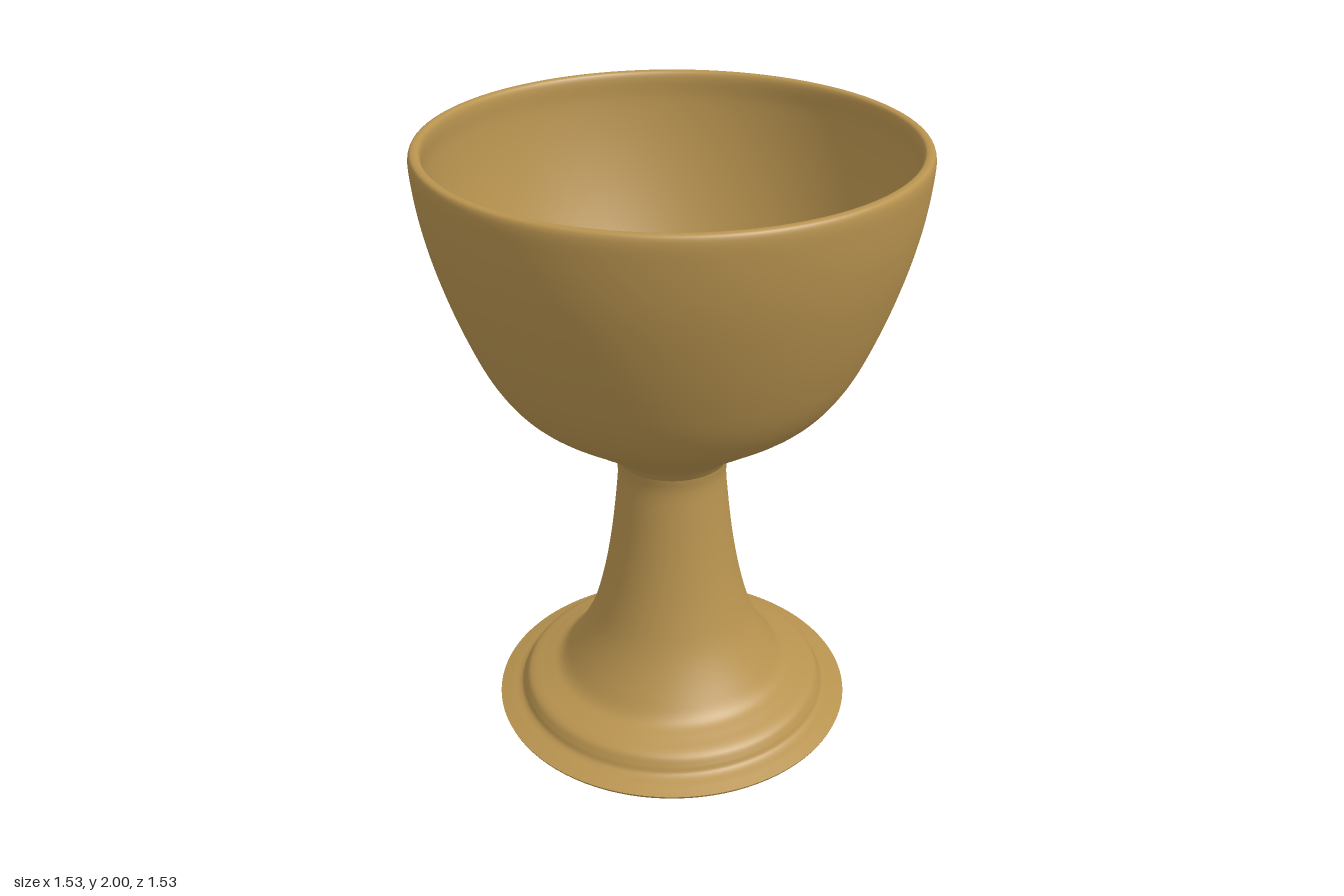
import * as THREE from 'three';

const material = new THREE.MeshStandardMaterial({ color: 0xb8934f });

// Smooth curve through [radius, height] pairs
function smooth(points, samples) {
  const curve = new THREE.CatmullRomCurve3(
    points.map(([r, y]) => new THREE.Vector3(r, y, 0)), false, 'centripetal');
  return curve.getPoints(samples).map((p) => new THREE.Vector2(Math.max(p.x, 0), p.y));
}

function turned(name, profile) {
  const mesh = new THREE.Mesh(new THREE.LatheGeometry(profile, 96), material);
  mesh.name = name;
  return mesh;
}

export function createModel() {
  const goblet = new THREE.Group();
  goblet.name = 'goblet';

  // Flat underside and thin edge of the foot
  goblet.add(turned('footUnderside', [
    new THREE.Vector2(0, 0), new THREE.Vector2(0.57, 0),
  ]));
  goblet.add(turned('footEdge', smooth([[0.57, 0], [0.6, 0.008], [0.605, 0.018]], 6)));

  // Stepped foot flowing into the stem
  goblet.add(turned('footAndStem', smooth([
    [0.605, 0.018], [0.57, 0.03], [0.53, 0.045], [0.518, 0.068], [0.5, 0.095],
    [0.44, 0.12], [0.39, 0.142], [0.345, 0.2], [0.28, 0.32], [0.24, 0.45],
    [0.207, 0.62], [0.185, 0.8], [0.178, 0.9], [0.185, 0.95],
  ], 70)));

  // Bowl: outer wall, rounded lip, then inner wall down to the centre
  goblet.add(turned('bowl', smooth([
    [0.185, 0.95], [0.215, 0.99], [0.36, 1.095], [0.5, 1.2], [0.575, 1.3],
    [0.64, 1.44], [0.7, 1.61], [0.742, 1.77], [0.763, 1.91], [0.766, 1.985],
    [0.758, 2], [0.738, 2], [0.73, 1.985],
    [0.728, 1.91], [0.707, 1.77], [0.665, 1.61], [0.605, 1.45], [0.54, 1.32],
    [0.47, 1.23], [0.34, 1.135], [0.18, 1.045], [0, 0.99],
  ], 110)));

  return goblet;
}
